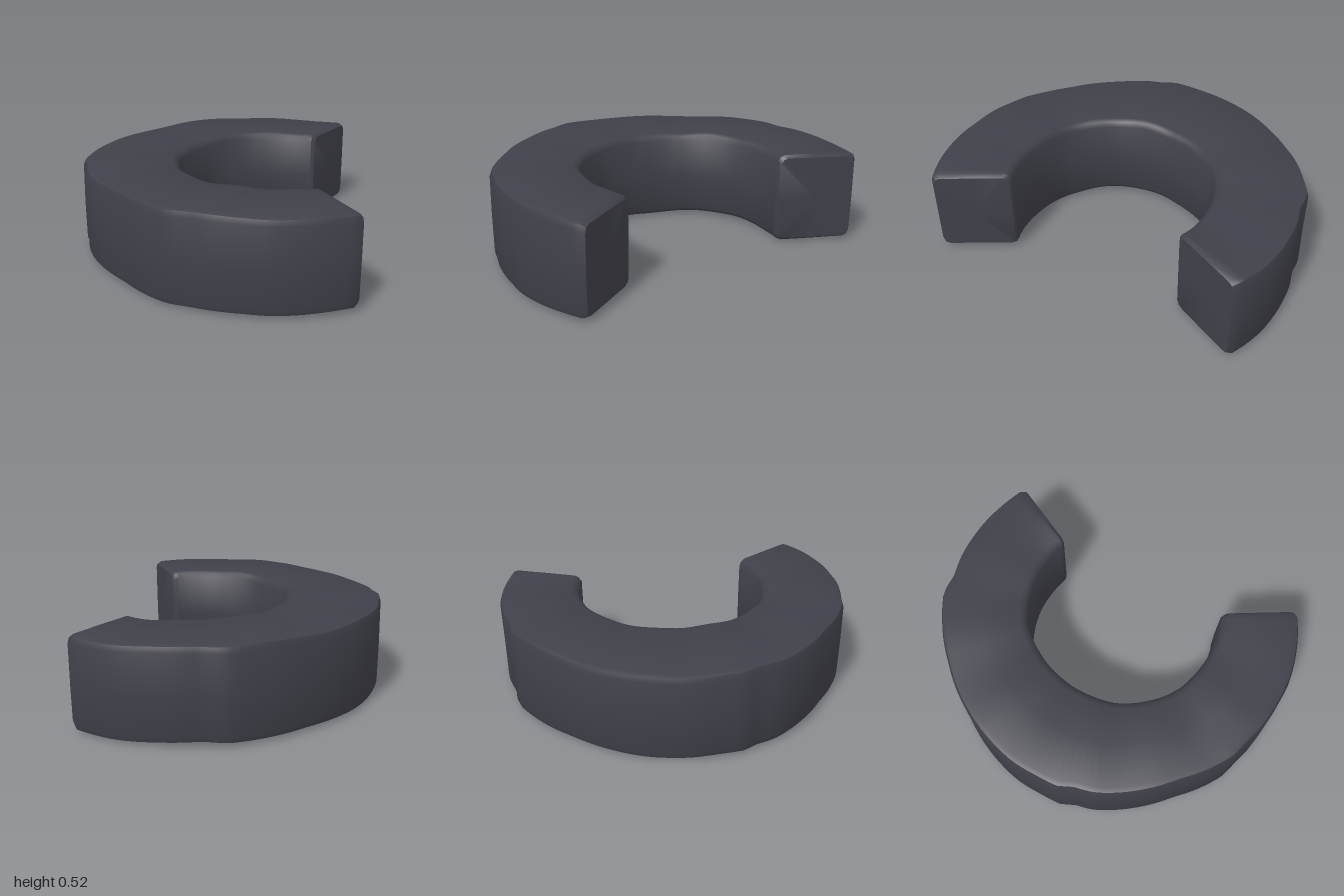
import * as THREE from 'three';
import { toCreasedNormals } from 'three/addons/utils/BufferGeometryUtils.js';

const CX = 0.27; // centre of the ring on x

// Plan outlines as [x, z], running from the back tip to the front tip
const OUTER = [[0.75, -0.885], [0.5, -0.98], [0.3, -1], [0.2, -0.998], [0.07, -0.972], [-0.05, -0.97], [-0.2, -0.89],
  [-0.4, -0.735], [-0.6, -0.5], [-0.7, -0.3], [-0.745, -0.15], [-0.757, 0], [-0.757, 0.14], [-0.725, 0.2],
  [-0.7, 0.32], [-0.6, 0.5], [-0.43, 0.69], [-0.19, 0.89], [-0.08, 0.925], [0.02, 0.96], [0.2, 0.985],
  [0.3, 0.993], [0.5, 0.965], [0.75, 0.87]];
const INNER = [[0.55, -0.49], [0.4, -0.53], [0.2, -0.525], [0, -0.445], [-0.12, -0.305], [-0.2, -0.12], [-0.22, 0.03],
  [-0.2, 0.18], [-0.11, 0.34], [0.04, 0.47], [0.2, 0.52], [0.4, 0.525], [0.55, 0.485]];

// Radius of an outline at a sweep angle (0 points to -x)
function radiusOf(points) {
  const polar = points.map(([x, z]) => [Math.atan2(z, CX - x), Math.hypot(x - CX, z)]);
  return a => {
    let i = 0;
    while (i < polar.length - 2 && polar[i + 1][0] < a) i++;
    const [a0, r0] = polar[i], [a1, r1] = polar[i + 1];
    return THREE.MathUtils.lerp(r0, r1, THREE.MathUtils.clamp((a - a0) / (a1 - a0), 0, 1));
  };
}
const outerRadius = radiusOf(OUTER), innerRadius = radiusOf(INNER);

// Worn rectangular cross-section, counter-clockwise as [radius, height]
function section(a) {
  const ro = outerRadius(a), ri = innerRadius(a);
  const top = 0.509 + 0.004 * Math.sin(a * 5 + 1) + 0.003 * Math.sin(a * 11);
  const bottom = 0.007 + 0.004 * Math.sin(a * 4) + 0.003 * Math.sin(a * 9 + 2);
  const bulge = 0.006 * Math.sin(a * 6 + 0.5);
  return [
    [ri + 0.045, bottom], [(ri + ro) / 2, bottom], [ro - 0.035, bottom + 0.002], [ro - 0.01, bottom + 0.012],
    [ro, bottom + 0.04], [ro + bulge * 0.5, 0.25], [ro, top - 0.04], [ro - 0.01, top - 0.012],
    [ro - 0.035, top - 0.002], [(ri + ro) / 2, top], [ri + 0.045, top], [ri + 0.02, top - 0.01],
    [ri + 0.004, top - 0.035], [ri + bulge, 0.25], [ri + 0.004, bottom + 0.035], [ri + 0.02, bottom + 0.01],
  ];
}

function ringGeometry() {
  const start = -2.07, end = 2.065, steps = 96;
  const pos = [], index = [];
  const n = section(0).length;
  const put = (r, y, a) => pos.push(CX - r * Math.cos(a), y, r * Math.sin(a));
  const addLoop = (a, shrink, swing) => {
    const ro = outerRadius(a), ri = innerRadius(a), mid = (ro + ri) / 2;
    for (const [r, y] of section(a)) {
      put(mid + (r - mid) * shrink, 0.257 + (y - 0.257) * shrink, a + swing);
    }
  };

  // Rings along the arc, with narrowed rings to soften both ends
  addLoop(start, 0.94, 0);
  for (let i = 0; i <= steps; i++) {
    addLoop(start + 0.03 + (end - start - 0.06) * i / steps, 1, 0);
  }
  addLoop(end, 0.94, 0);
  const loops = steps + 3;
  for (let i = 0; i < loops - 1; i++) {
    for (let j = 0; j < n; j++) {
      const k = (j + 1) % n;
      const a = i * n + j, b = i * n + k, c = a + n, d = b + n;
      index.push(a, c, b, b, c, d);
    }
  }

  // Slightly domed end faces
  const cap = (loop, angle, flip) => {
    const hub = pos.length / 3;
    put((outerRadius(angle) + innerRadius(angle)) / 2, 0.257, angle + (flip ? 0.012 : -0.012));
    for (let j = 0; j < n; j++) {
      const a = loop * n + j, b = loop * n + (j + 1) % n;
      if (flip) index.push(hub, b, a); else index.push(hub, a, b);
    }
  };
  cap(0, start, false);
  cap(loops - 1, end, true);

  const geometry = new THREE.BufferGeometry();
  geometry.setAttribute('position', new THREE.Float32BufferAttribute(pos, 3));
  geometry.setIndex(index);
  return toCreasedNormals(geometry, 0.7);
}

export function createModel() {
  const model = new THREE.Group();
  model.name = 'openStoneRing';
  const darkStone = new THREE.MeshStandardMaterial({ color: 0x40404a });
  darkStone.name = 'darkStone';
  const ring = new THREE.Mesh(ringGeometry(), darkStone);
  ring.name = 'brokenRing';
  model.add(ring);
  return model;
}
